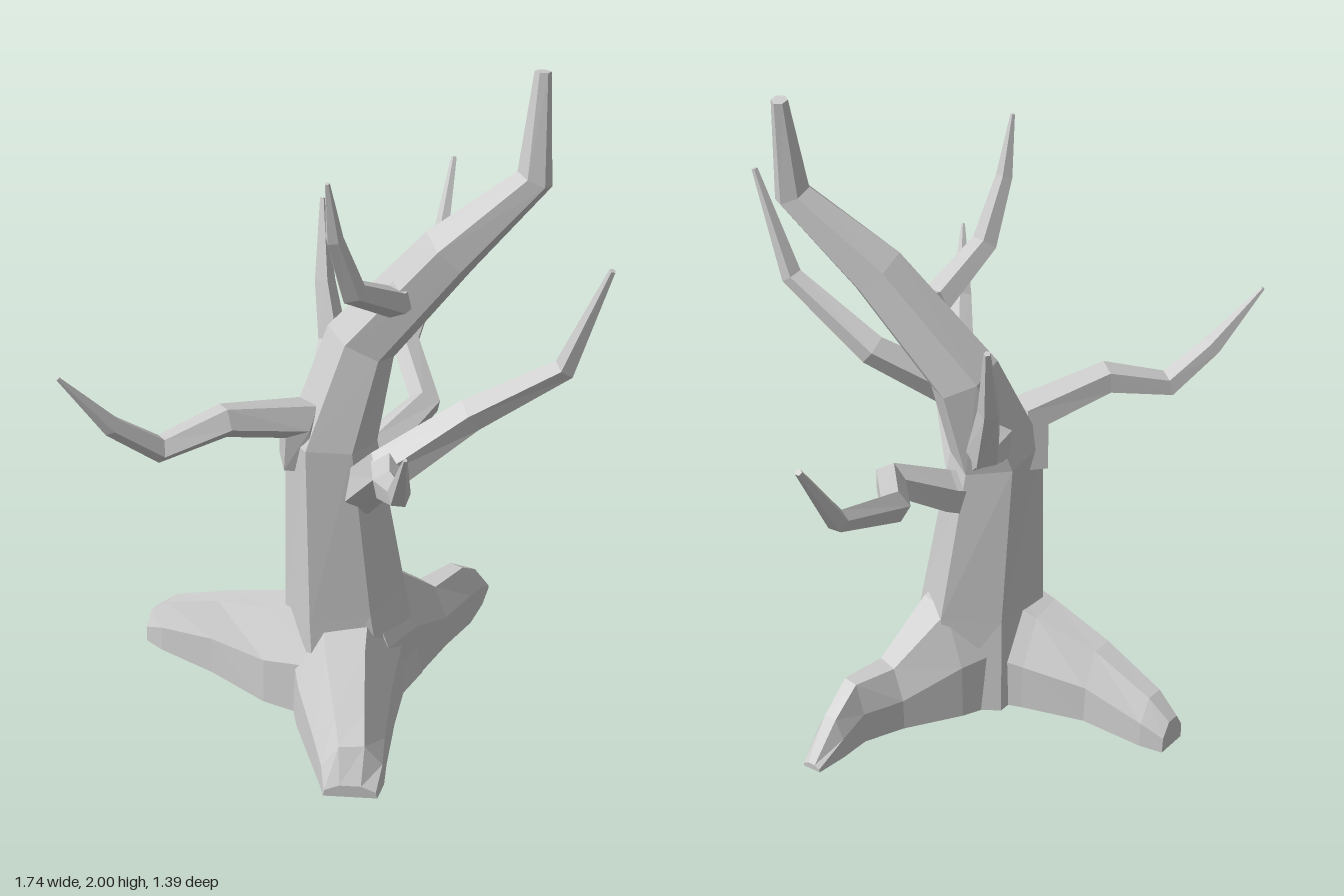
import * as THREE from 'three';

const material = new THREE.MeshStandardMaterial({ color: 0xcccccc, flatShading: true });

// Skin a list of equal-length rings and close both ends.
function loft(name, rings) {
  const n = rings[0].length, last = (rings.length - 1) * n;
  const positions = rings.flat().flatMap((p) => [p.x, Math.max(p.y, 0), p.z]);
  const index = [];
  for (let i = 0; i < rings.length - 1; i++) {
    for (let j = 0; j < n; j++) {
      const a = i * n + j, b = i * n + (j + 1) % n;
      index.push(a, b, b + n, a, b + n, a + n);
    }
  }
  for (let k = 1; k < n - 1; k++) {
    index.push(0, k + 1, k);
    index.push(last, last + k, last + k + 1);
  }
  const geometry = new THREE.BufferGeometry();
  geometry.setAttribute('position', new THREE.Float32BufferAttribute(positions, 3));
  geometry.setIndex(index);
  const flat = geometry.toNonIndexed();
  flat.computeVertexNormals();
  const mesh = new THREE.Mesh(flat, material);
  mesh.name = name;
  return mesh;
}

// Tapered limb along points [x, y, z, radius, depth ratio], rings square to the path.
function limb(name, points, sides) {
  const path = points.map(([x, y, z]) => new THREE.Vector3(x, y, z));
  const steps = path.slice(1).map((p, i) => p.clone().sub(path[i]).normalize());
  let tangent = new THREE.Vector3(0, 1, 0);
  const u = new THREE.Vector3(0, 0, 1), v = new THREE.Vector3(1, 0, 0);
  const rings = path.map((p, i) => {
    const next = (steps[i - 1] ?? steps[0]).clone().add(steps[i] ?? steps[i - 1]).normalize();
    const turn = new THREE.Quaternion().setFromUnitVectors(tangent, next);
    u.applyQuaternion(turn);
    v.applyQuaternion(turn);
    tangent = next;
    const [, , , r, depth = 1] = points[i];
    return Array.from({ length: sides }, (_, j) => {
      const angle = ((j + 0.75) / sides) * Math.PI * 2;
      return p.clone().addScaledVector(u, Math.cos(angle) * r * depth)
        .addScaledVector(v, Math.sin(angle) * r);
    });
  });
  return loft(name, rings);
}

// Flat-bottomed root along sections [x, z, halfWidth, height].
function root(name, sections) {
  const outline = [[1, 0], [0.95, 0.52], [0.4, 1], [-0.4, 1], [-0.95, 0.52], [-1, 0]];
  const rings = sections.map(([x, z, w, h], i) => {
    const a = sections[Math.max(i - 1, 0)], b = sections[Math.min(i + 1, sections.length - 1)];
    const dir = new THREE.Vector2(b[0] - a[0], b[1] - a[1]).normalize();
    return outline.map(([s, t]) => new THREE.Vector3(x + dir.y * s * w, t * h, z - dir.x * s * w));
  });
  return loft(name, rings);
}

export function createModel() {
  const tree = new THREE.Group();
  tree.name = 'bareTree';

  // Trunk, leaning forward and to the left into the highest limb
  tree.add(limb('trunk', [
    [-0.065, 0, -0.045, 0.235, 0.88], [-0.075, 0.33, -0.065, 0.207, 0.78],
    [-0.093, 0.87, -0.1, 0.15, 0.84], [0.015, 1.16, -0.08, 0.11],
    [0.168, 1.465, 0.125, 0.09], [0.33, 1.69, 0.3, 0.055], [0.372, 1.995, 0.282, 0.024],
  ], 6));

  // Bare branches
  const branches = {
    leftBranch: [[0, 0.74, -0.09, 0.07], [0.08, 0.77, -0.07, 0.066], [0.26, 0.87, -0.04, 0.052],
      [0.4, 0.95, -0.25, 0.046], [0.68, 1.09, -0.37, 0.032], [0.86, 1.37, -0.46, 0.01]],
    rightBranch: [[-0.17, 0.81, -0.155, 0.07], [-0.2, 0.97, -0.13, 0.07], [-0.43, 1.03, -0.2, 0.052],
      [-0.61, 0.98, -0.28, 0.042], [-0.74, 1.09, -0.33, 0.032], [-0.87, 1.27, -0.395, 0.006]],
    frontBranch: [[-0.08, 0.72, 0, 0.075], [-0.16, 0.91, 0.19, 0.068], [0.04, 1.06, 0.33, 0.052],
      [0.16, 1.25, 0.57, 0.035], [0.2, 1.575, 0.685, 0.01]],
    frontForkBranch: [[-0.13, 0.91, 0.16, 0.055], [-0.26, 0.93, 0.28, 0.046],
      [-0.4, 1.03, 0.45, 0.034], [-0.485, 1.22, 0.55, 0.006]],
    backBranch: [[-0.02, 0.88, -0.1, 0.07], [0.01, 0.99, -0.21, 0.062], [0.12, 1.04, -0.3, 0.05],
      [0.15, 1.22, -0.36, 0.034], [0.205, 1.455, -0.415, 0.01]],
    upperBranch: [[0.1, 1.35, 0.04, 0.055], [0.01, 1.335, 0.055, 0.05], [-0.19, 1.45, 0.08, 0.04],
      [-0.27, 1.64, 0.09, 0.026], [-0.305, 1.82, 0.1, 0.007]],
  };
  for (const [name, points] of Object.entries(branches)) tree.add(limb(name, points, 5));

  // Spreading roots
  const roots = {
    frontRoot: [[-0.12, -0.02, 0.18, 0.33], [-0.25, 0.1, 0.15, 0.27], [-0.39, 0.25, 0.11, 0.19],
      [-0.45, 0.315, 0.095, 0.14], [-0.495, 0.35, 0.08, 0.04]],
    backRoot: [[-0.12, -0.05, 0.18, 0.36], [-0.2, -0.22, 0.145, 0.29], [-0.255, -0.42, 0.085, 0.24],
      [-0.295, -0.62, 0.068, 0.16], [-0.31, -0.69, 0.05, 0.1]],
    leftRoot: [[-0.08, -0.05, 0.18, 0.4], [0.1, -0.05, 0.14, 0.35], [0.28, -0.04, 0.085, 0.2],
      [0.42, -0.04, 0.06, 0.2], [0.52, -0.07, 0.05, 0.13], [0.615, -0.1, 0.03, 0.02]],
  };
  for (const [name, sections] of Object.entries(roots)) tree.add(root(name, sections));

  return tree;
}
